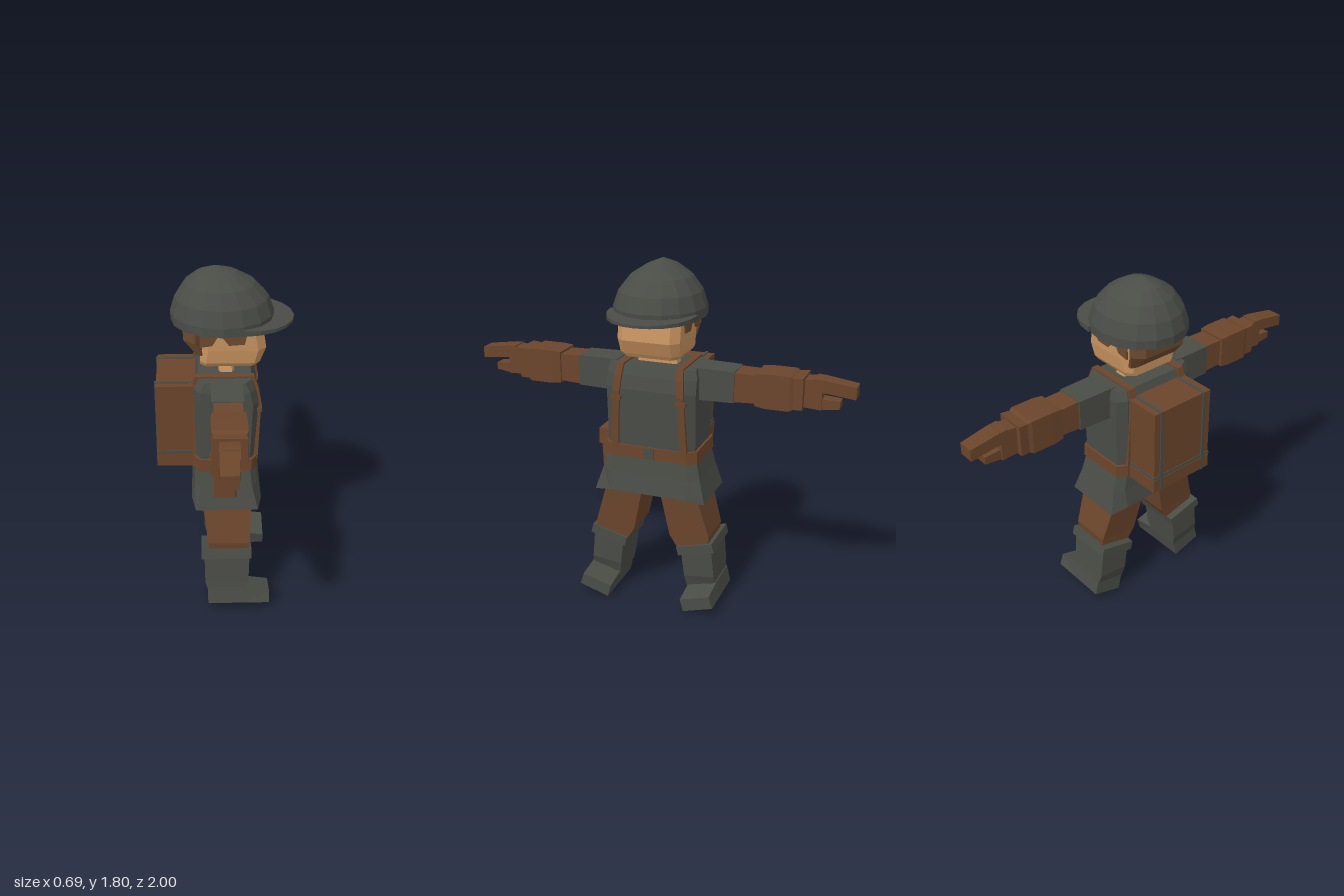
import * as THREE from 'three';

const mat = (name, color) => {
  const m = new THREE.MeshStandardMaterial({ color });
  m.name = name;
  return m;
};

export function createModel() {
  const root = new THREE.Group();
  root.name = 'figure';
  const cloth = mat('greyCloth', 0x4a4c46);
  const leather = mat('brownLeather', 0x6b452b);
  const skin = mat('skin', 0xc8935f);
  const hair = mat('hair', 0x6c4a2e);

  const add = (name, geo, material, parent = root) => {
    const m = new THREE.Mesh(geo, material);
    m.name = name;
    parent.add(m);
    return m;
  };

  // Faceted solid through rings of equal point count, capped at both ends
  const loft = (rings) => {
    const n = rings[0].length, tris = [];
    for (let r = 0; r + 1 < rings.length; r++)
      for (let i = 0; i < n; i++) {
        const j = (i + 1) % n, a = rings[r], b = rings[r + 1];
        tris.push([a[i], a[j], b[j]], [a[i], b[j], b[i]]);
      }
    const first = rings[0], last = rings[rings.length - 1];
    for (let i = 1; i + 1 < n; i++)
      tris.push([first[0], first[i + 1], first[i]], [last[0], last[i], last[i + 1]]);
    // Signed volume tells whether the corners must be turned round
    let vol = 0;
    const [a, b, c] = [0, 1, 2].map(() => new THREE.Vector3());
    for (const t of tris) vol += a.fromArray(t[0]).dot(b.fromArray(t[1]).cross(c.fromArray(t[2])));
    const pos = tris.flatMap((t) => (vol < 0 ? [t[0], t[2], t[1]] : t)).flat();
    const g = new THREE.BufferGeometry();
    g.setAttribute('position', new THREE.Float32BufferAttribute(pos, 3));
    g.computeVertexNormals();
    return g;
  };

  const box = (name, x0, x1, y0, y1, z0, z1, material, parent) => {
    const g = new THREE.BoxGeometry(x1 - x0, y1 - y0, z1 - z0);
    g.translate((x0 + x1) / 2, (y0 + y1) / 2, (z0 + z1) / 2);
    return add(name, g, material, parent);
  };

  // Horizontal ring with cut corners: c in x, d in z
  const octagon = (y, x0, x1, z, c = 0.03, d = 0.05) => [
    [x0, y, -z + d], [x0 + c, y, -z], [x1 - c, y, -z], [x1, y, -z + d],
    [x1, y, z - d], [x1 - c, y, z], [x0 + c, y, z], [x0, y, z - d],
  ];

  // Ring across a limb, tilted between its inner and outer edge
  const tilted = (s, x0, x1, zi, yi, zo, yo) => [
    [x0, yi, s * zi], [x1, yi, s * zi], [x1, yo, s * zo], [x0, yo, s * zo],
  ];
  // Ring across an arm at a given reach
  const across = (s, z, y0, y1, x0, x1) => [
    [x0, y0, s * z], [x1, y0, s * z], [x1, y1, s * z], [x0, y1, s * z],
  ];

  // Helmet dome and peak
  const dome = [
    [1.53, -0.26, 0.24, 0.235], [1.575, -0.262, 0.243, 0.233], [1.65, -0.24, 0.215, 0.208],
    [1.72, -0.195, 0.15, 0.155], [1.77, -0.135, 0.065, 0.078], [1.8, -0.05, -0.03, 0.005],
  ].map(([y, x0, x1, z]) => Array.from({ length: 16 }, (_, i) => {
    const t = (i / 16) * Math.PI * 2;
    return [(x0 + x1) / 2 + ((x1 - x0) / 2) * Math.cos(t), y, z * Math.sin(t)];
  }));
  add('helmet', loft(dome), cloth);
  const peak = (drop) => Array.from({ length: 11 }, (_, i) => {
    const t = (i / 10 - 0.5) * Math.PI, c = Math.cos(t);
    return [0.09 + 0.25 * c, 1.56 - 0.012 * c - drop * (1.2 - 0.6 * c), 0.228 * Math.sin(t)];
  });
  add('helmetPeak', loft([peak(0.022), peak(0)]), cloth);

  // Head, neck and hair
  add('head', loft([
    octagon(1.34, -0.12, 0.16, 0.143, 0.03, 0.03),
    octagon(1.36, -0.12, 0.172, 0.155, 0.03, 0.03),
    octagon(1.43, -0.12, 0.2, 0.163, 0.04, 0.04),
    octagon(1.56, -0.12, 0.178, 0.163, 0.04, 0.04),
  ]), skin);
  add('neck', loft([
    octagon(1.26, -0.03, 0.05, 0.115, 0.01, 0.02),
    octagon(1.36, -0.03, 0.04, 0.085, 0.01, 0.02),
  ]), skin);
  add('backHair', loft([
    octagon(1.4, -0.14, -0.1, 0.15, 0.01, 0.03),
    octagon(1.47, -0.2, -0.09, 0.167, 0.05, 0.05),
    octagon(1.56, -0.2, -0.09, 0.167, 0.05, 0.05),
  ]), hair);
  const lock = new THREE.Shape([
    [-0.12, 1.56], [-0.12, 1.45], [-0.06, 1.46], [-0.025, 1.52],
    [0.02, 1.46], [0.095, 1.465], [0.115, 1.56],
  ].map(([x, y]) => new THREE.Vector2(x, y)));
  for (const s of [1, -1]) {
    const g = new THREE.ExtrudeGeometry(lock, { depth: 0.008, bevelEnabled: false });
    g.translate(0, 0, s > 0 ? 0.161 : -0.169);
    add('sideHair', g, hair);
  }

  // Tunic, skirt and belt
  add('tunic', loft([
    octagon(0.84, -0.15, 0.152, 0.235), octagon(1.17, -0.15, 0.165, 0.238),
    octagon(1.24, -0.15, 0.15, 0.238), octagon(1.29, -0.13, 0.13, 0.228),
  ]), cloth);
  const hem = octagon(0.6, -0.17, 0.185, 0.3, 0.02, 0.09);
  for (const i of [0, 3, 4, 7]) hem[i][1] = 0.618;
  add('skirt', loft([hem, octagon(0.72, -0.155, 0.165, 0.265), octagon(0.84, -0.148, 0.15, 0.236)]), cloth);
  add('belt', loft([octagon(0.805, -0.16, 0.162, 0.25), octagon(0.87, -0.16, 0.162, 0.247)]), leather);
  box('buckle', 0.155, 0.167, 0.81, 0.865, -0.026, 0.026, cloth);

  // Hip pouch
  const pouch = new THREE.Group();
  pouch.name = 'hipPouch';
  root.add(pouch);
  add('pouchBody', loft([
    octagon(0.68, -0.06, 0.055, 0.032, 0.008, 0.008), octagon(0.84, -0.065, 0.06, 0.036, 0.008, 0.008),
  ]).translate(0, 0, 0.272), leather, pouch);
  box('pouchLid', -0.075, 0.07, 0.82, 0.905, 0.235, 0.315, leather, pouch);

  // Backpack with bedroll base and cloth bands
  const pack = new THREE.Group();
  pack.name = 'backpack';
  root.add(pack);
  box('packBody', -0.338, -0.145, 0.87, 1.25, -0.18, 0.18, leather, pack);
  box('packBase', -0.343, -0.145, 0.797, 0.868, -0.186, 0.18, leather, pack);
  box('packBand', -0.342, -0.145, 0.87, 0.886, -0.184, 0.184, cloth, pack);

  for (const s of [1, -1]) {
    box('packStrap', -0.345, -0.15, 0.795, 1.255, s * 0.137 - 0.008, s * 0.137 + 0.008, cloth, pack);

    // Shoulder strap: outer x, y, then inner x, y, and sideways place
    add('shoulderStrap', loft([
      [0.164, 0.85, 0.13, 0.85, 0.185], [0.178, 1.16, 0.14, 1.15, 0.17],
      [0.164, 1.24, 0.12, 1.22, 0.163], [0.142, 1.298, 0.11, 1.27, 0.157],
      [-0.145, 1.298, -0.12, 1.27, 0.157], [-0.16, 1.24, -0.13, 1.22, 0.157],
      [-0.16, 0.86, -0.13, 0.86, 0.18],
    ].map(([x, y, u, v, z]) => [
      [x, y, s * (z - 0.018)], [x, y, s * (z + 0.018)], [u, v, s * (z + 0.018)], [u, v, s * (z - 0.018)],
    ])), leather);
    box('strapClip', 0.15, 0.182, 1.115, 1.135, s * 0.172 - 0.026, s * 0.172 + 0.026, leather);

    // Arm: sleeve, forearm, gauntlet, cuff and hand
    const arm = new THREE.Group();
    arm.name = s > 0 ? 'rightArm' : 'leftArm';
    root.add(arm);
    const limb = (name, material, ...rows) =>
      add(name, loft(rows.map((r) => across(s, ...r))), material, arm);
    limb('sleeve', cloth, [0.2, 1.13, 1.295, -0.075, 0.085], [0.415, 1.135, 1.292, -0.07, 0.083]);
    limb('forearm', leather, [0.41, 1.138, 1.288, -0.06, 0.076], [0.54, 1.145, 1.285, -0.06, 0.076]);
    limb('gauntlet', leather, [0.52, 1.135, 1.297, -0.072, 0.086], [0.57, 1.128, 1.302, -0.075, 0.09],
      [0.69, 1.128, 1.302, -0.075, 0.09], [0.71, 1.138, 1.292, -0.066, 0.082]);
    limb('gauntletCuff', leather, [0.7, 1.137, 1.293, -0.066, 0.082], [0.755, 1.14, 1.298, -0.07, 0.085]);
    limb('palm', leather, [0.74, 1.147, 1.283, -0.042, 0.05], [0.84, 1.14, 1.292, -0.042, 0.05]);
    limb('fingers', leather, [0.8, 1.22, 1.294, -0.042, 0.05], [0.85, 1.228, 1.29, -0.042, 0.05],
      [1, 1.208, 1.268, -0.042, 0.04]);
    limb('thumb', leather, [0.82, 1.138, 1.195, -0.03, 0.04], [0.925, 1.15, 1.187, -0.03, 0.035]);

    // Leg: breeches, boot shaft, cuff and foot, splayed outward
    const leg = new THREE.Group();
    leg.name = s > 0 ? 'rightLeg' : 'leftLeg';
    root.add(leg);
    const part = (name, material, ...rows) =>
      add(name, loft(rows.map((r) => tilted(s, ...r))), material, leg);
    part('breeches', leather, [-0.12, 0.138, 0.03, 0.72, 0.225, 0.74], [-0.115, 0.135, 0.05, 0.62, 0.25, 0.62],
      [-0.09, 0.125, 0.1, 0.38, 0.315, 0.4], [-0.085, 0.122, 0.15, 0.3, 0.31, 0.34]);
    part('bootCuff', cloth, [-0.125, 0.135, 0.14, 0.32, 0.335, 0.37], [-0.125, 0.135, 0.152, 0.272, 0.347, 0.322]);
    part('bootShaft', cloth, [-0.11, 0.125, 0.165, 0.29, 0.33, 0.33], [-0.107, 0.12, 0.182, 0.15, 0.345, 0.17],
      [-0.09, 0.1, 0.192, 0.08, 0.352, 0.11]);
    // Foot rings run from heel to toe
    add('foot', loft([[-0.093, 0], [0.09, 0], [0.23, -0.022]].map(([x, d]) => [
      [x, 0.002, s * 0.215], [x, 0.05, s * 0.375], [x, 0.135 + d, s * 0.355], [x, 0.09 + d, s * 0.197],
    ])), cloth, leg);
  }

  // Stand on the ground, centred
  const bounds = new THREE.Box3().setFromObject(root);
  const mid = bounds.getCenter(new THREE.Vector3());
  for (const c of root.children) c.position.sub(new THREE.Vector3(mid.x, bounds.min.y, mid.z));
  return root;
}
